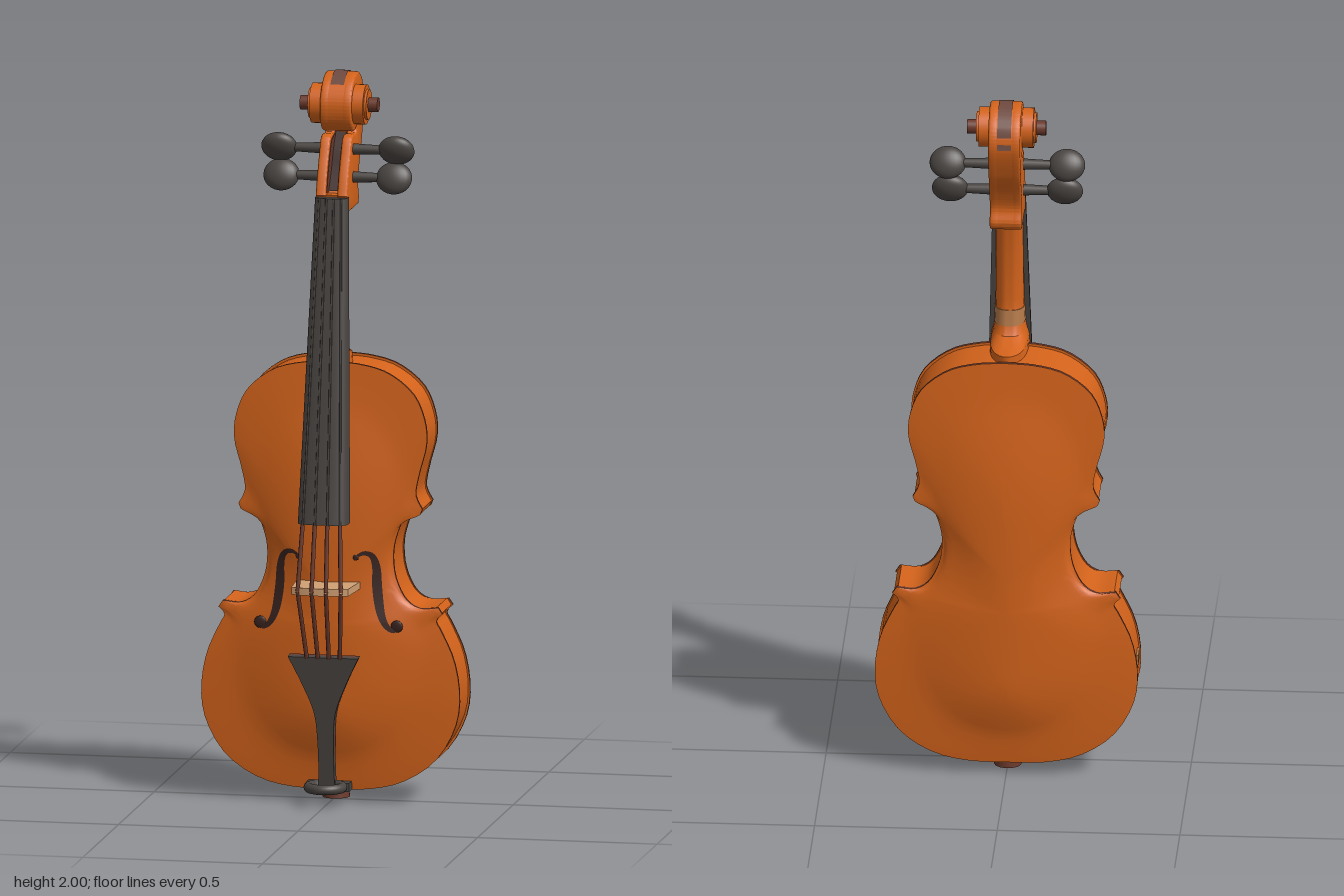
import * as THREE from 'three';
import { toCreasedNormals, mergeVertices } from 'three/addons/utils/BufferGeometryUtils.js';

const mat = (name, color, side = THREE.FrontSide) => {
  const m = new THREE.MeshStandardMaterial({ color, side });
  m.name = name;
  return m;
};
const V3 = (x, y, z) => new THREE.Vector3(x, y, z);
const V2 = ([x, y]) => new THREE.Vector2(x, y);

// Surface through rings of points (loops counter-clockwise seen from the last ring)
function skin(rings, closed = true) {
  const n = rings[0].length, pos = [], idx = [];
  rings.forEach(r => r.forEach(p => pos.push(p.x, p.y, p.z)));
  for (let j = 0; j < rings.length - 1; j++) {
    for (let i = 0; i < (closed ? n : n - 1); i++) {
      const a = j * n + i, b = j * n + (i + 1) % n;
      idx.push(a, b, b + n, a, b + n, a + n);
    }
  }
  const g = new THREE.BufferGeometry();
  g.setAttribute('position', new THREE.Float32BufferAttribute(pos, 3));
  g.setIndex(idx);
  return toCreasedNormals(mergeVertices(g, 1e-5), 0.6);
}

// Half outline of the body in three smooth runs that meet at sharp corners
const RUNS = [
  [[0, 0.035], [0.1, 0.037], [0.2, 0.06], [0.29, 0.12], [0.345, 0.21], [0.36, 0.3], [0.345, 0.4], [0.31, 0.48], [0.295, 0.51], [0.312, 0.53]],
  [[0.3, 0.548], [0.25, 0.545], [0.21, 0.57], [0.182, 0.63], [0.176, 0.7], [0.19, 0.76], [0.21, 0.795], [0.25, 0.805]],
  [[0.256, 0.82], [0.238, 0.86], [0.248, 0.92], [0.268, 1.0], [0.262, 1.07], [0.23, 1.14], [0.16, 1.195], [0.08, 1.217], [0, 1.222]],
];
function bodyLoop() {
  const half = RUNS.flatMap(r => new THREE.SplineCurve(r.map(V2)).getPoints(26));
  const left = half.slice(1, -1).reverse().map(p => new THREE.Vector2(-p.x, p.y));
  return [...half, ...left];
}
// Outline with its corners averaged away
function softened(loop) {
  const n = loop.length;
  for (let k = 0; k < 80; k++) {
    loop = loop.map((p, i) => p.clone().multiplyScalar(2).add(loop[(i + 1) % n]).add(loop[(i + n - 1) % n]).divideScalar(4));
  }
  return loop;
}

// Arched plate: the outline softens and shrinks onto a spine while it rises
function plate(loop, z, rise) {
  const steps = [1, 0.97, 0.94, 0.9, 0.85, 0.79, 0.72, 0.62, 0.5, 0.36, 0.18, 0];
  const src = rise < 0 ? [...loop].reverse() : loop;
  const soft = softened(src);
  return skin(steps.map(t => src.map((q, i) => {
    const p = q.clone().lerp(soft[i], THREE.MathUtils.smoothstep(1 - t, 0, 0.22));
    const spine = 0.3 + (q.y - 0.035) * 0.38;
    return V3(p.x * t, spine + (p.y - spine) * t, z + rise * Math.sin((1 - t) * Math.PI / 2) ** 1.15);
  })));
}
const band = (loop, z0, z1) => skin([z0, z1].map(z => loop.map(p => V3(p.x, p.y, z))));

// Upright bar with one flat and one rounded side; sections are [y, halfWidth, zFlat, zRound]
function dBar(sections, power) {
  const rings = sections.map(([y, w, zf, zr]) => Array.from({ length: 32 }, (_, i) => {
    const a = i / 32 * Math.PI * 2, s = Math.sin(a) * (zr < zf ? 1 : -1);
    return V3(w * Math.cos(a), y, s > 0 ? zf + (zr - zf) * s ** power : zf);
  }));
  const cap = ([y, , a, b]) => rings[0].map(() => V3(0, y, (a + b) / 2));
  return skin([cap(sections[0]), ...rings, cap(sections[sections.length - 1])]);
}

// Side profile (z, y) extruded across x, with its edges rounded by bevel
function sideExtrude(shape, width, x, bevel) {
  const g = new THREE.ExtrudeGeometry(shape, {
    depth: width - 2 * bevel, curveSegments: 40, bevelEnabled: bevel > 0,
    bevelSize: bevel, bevelThickness: bevel, bevelOffset: -bevel, bevelSegments: 3,
  });
  g.translate(0, 0, bevel - width / 2).rotateY(-Math.PI / 2).translate(x, 0, 0);
  return toCreasedNormals(g, 0.6);
}

export function createModel() {
  const root = new THREE.Group();
  root.name = 'violin';
  const wood = mat('orange wood', 0xd4631b);
  const ebony = mat('dark ebony', 0x4a4542);
  const brown = mat('dark brown', 0x6b392b, THREE.DoubleSide);
  const greyBrown = mat('grey brown', 0x6e4a40, THREE.DoubleSide);
  const black = mat('cavity black', 0x38231f, THREE.DoubleSide);
  const maple = mat('pale maple', 0xd2a072);
  const tan = mat('worn tan', 0xb57a4a);
  const add = (name, geo, m, parent = root) => {
    const mesh = new THREE.Mesh(geo, m);
    mesh.name = name;
    parent.add(mesh);
    return mesh;
  };

  // Body
  const loop = bodyLoop();
  const inner = loop.map(p => new THREE.Vector2(p.x * 0.986, 0.63 + (p.y - 0.63) * 0.988));
  const front = add('frontPlate', plate(loop, 0.045, 0.052), wood);
  add('backPlate', plate(loop, -0.112, -0.048), wood);
  add('ribs', band(inner, -0.105, 0.04), wood);
  const flat = (l, z) => l.map(p => V3(p.x, p.y, z));
  add('frontEdge', band(loop, 0.035, 0.045), brown);
  add('backEdge', band(loop, -0.112, -0.102), brown);
  add('frontLip', skin([flat(inner, 0.035), flat(loop, 0.035)]), wood);
  add('backLip', skin([flat(loop, -0.102), flat(inner, -0.102)]), wood);
  add('ribPatch', new THREE.BoxGeometry(0.008, 0.028, 0.055), tan).position.set(-0.3545, 0.325, -0.03);

  // Sound holes laid on the arched front
  const ray = new THREE.Raycaster();
  const onFront = (x, y) => {
    ray.set(V3(x, y, 1), V3(0, 0, -1));
    const hit = ray.intersectObject(front)[0];
    return V3(x, y, (hit ? hit.point.z : 0.05) + 0.003);
  };
  for (const s of [-1, 1]) {
    const path = new THREE.SplineCurve([[0.078, 0.688], [0.1, 0.7], [0.122, 0.692], [0.133, 0.66], [0.136, 0.6], [0.146, 0.535], [0.163, 0.497], [0.185, 0.484], [0.197, 0.5]].map(V2));
    const edges = [-1, 1].map(e => Array.from({ length: 41 }, (_, i) => {
      const u = i / 40, p = path.getPointAt(u), t = path.getTangentAt(u);
      const w = e * (0.003 + 0.01 * Math.sin(u * Math.PI));
      return onFront(s * (p.x - t.y * w), p.y + t.x * w);
    }));
    add('soundHole', skin(edges, false), black);
    for (const [x, y, r] of [[0.08, 0.688, 0.008], [0.19, 0.497, 0.017]]) {
      const dot = add('soundHoleEnd', new THREE.SphereGeometry(r, 16, 8), black);
      dot.scale.z = 0.25;
      dot.position.copy(onFront(s * x, y));
    }
  }

  // Neck with heel, and fingerboard
  add('neck', dBar([[1.18, 0.055, 0.08, -0.1], [1.236, 0.052, 0.076, -0.1], [1.246, 0.05, 0.074, -0.05], [1.26, 0.046, 0.072, -0.015],
    [1.29, 0.041, 0.068, 0.002], [1.36, 0.039, 0.06, 0.008], [1.6, 0.037, 0.03, 0.002], [1.64, 0.037, 0.026, -0.01], [1.68, 0.037, 0.024, -0.02]], 0.6), wood);
  add('neckPatch', dBar([[1.285, 0.043, 0.067, -0.003], [1.33, 0.0415, 0.062, 0.003]], 0.6), tan);
  add('fingerboard', dBar([[0.79, 0.07, 0.122, 0.177], [1.675, 0.045, 0.014, 0.052]], 0.3), ebony);

  // Head: two rounded cheeks and a recessed core share one back curve
  const backCurve = [[-0.138, 1.65], [-0.128, 1.69], [-0.145, 1.74], [-0.185, 1.815], [-0.211, 1.9], [-0.193, 1.96], [-0.145, 1.994],
    [-0.095, 1.996], [-0.05, 1.972], [-0.023, 1.925], [-0.03, 1.872], [-0.065, 1.843], [-0.108, 1.848]];
  const head = frontCurve => {
    const s = new THREE.Shape();
    s.moveTo(0, 1.63);
    s.lineTo(-0.13, 1.63);
    s.splineThru(backCurve.map(V2));
    s.splineThru(frontCurve.map(V2));
    return s;
  };
  const floor = [[-0.11, 1.832], [-0.075, 1.79], [-0.045, 1.735], [-0.008, 1.685]];
  const cheek = head([[-0.1, 1.833], [-0.06, 1.835], [-0.035, 1.825], [-0.01, 1.78], [0.015, 1.73], [0.035, 1.68]]);
  const wall = new THREE.Shape([...floor, [0.022, 1.685], [0.007, 1.73], [-0.018, 1.78], [-0.045, 1.82], [-0.08, 1.828]].map(V2));
  for (const s of [-1, 1]) {
    add('headCheek', sideExtrude(cheek, 0.028, s * 0.03, 0.006), wood);
    add('cavityWall', sideExtrude(wall, 0.002, s * 0.0155, 0), brown);
  }
  add('headCore', sideExtrude(head(floor), 0.044, 0, 0), wood);
  const strip = (pts, w, off) => skin([-w, w].map(x => pts.map(p => V3(x, p.y + off[1], p.x + off[0]))), false);
  add('pegboxCavity', strip(new THREE.SplineCurve(floor.map(V2)).getPoints(12), 0.021, [0.004, 0.002]), black);
  const crown = new THREE.SplineCurve(backCurve.slice(4, 9).map(V2)).getPoints(40)
    .map(p => V2([-0.115 + (p.x + 0.115) * 1.03, 1.9 + (p.y - 1.9) * 1.03]));
  add('scrollStripe', strip(crown, 0.019, [0, 0]), greyBrown);

  // Scroll turns, stepping outward to the eye
  for (const [name, r, len, m] of [['scrollTurn', 0.055, 0.15, wood], ['scrollInnerTurn', 0.042, 0.164, wood], ['scrollEye', 0.02, 0.216, brown]]) {
    const c = add(name, new THREE.CylinderGeometry(r, r, len, 32), m);
    c.rotation.z = Math.PI / 2;
    c.position.set(0, 1.915, -0.085);
  }

  // Tuning pegs
  for (const s of [-1, 1]) {
    for (const [y, z, x, tilt] of [[1.795, -0.06, 0.163, 0.5], [1.718, -0.058, 0.157, -0.4]]) {
      const peg = new THREE.Group();
      peg.name = 'tuningPeg';
      peg.position.set(0, y, z);
      root.add(peg);
      const shaft = add('pegShaft', new THREE.CylinderGeometry(0.012, 0.016, 0.1, 16), ebony, peg);
      shaft.rotation.z = -s * Math.PI / 2;
      shaft.position.x = s * 0.08;
      const grip = add('pegGrip', new THREE.SphereGeometry(1, 24, 16), ebony, peg);
      grip.scale.set(0.05, 0.045, 0.027);
      grip.rotation.x = tilt;
      grip.position.x = s * x;
    }
  }

  // Bridge with arched top and a cut between its feet
  const b = new THREE.Shape();
  b.moveTo(-0.086, 0.08);
  b.lineTo(-0.05, 0.08);
  b.quadraticCurveTo(0, 0.13, 0.05, 0.08);
  b.lineTo(0.09, 0.08);
  b.lineTo(0.08, 0.2);
  b.quadraticCurveTo(0, 0.224, -0.078, 0.2);
  const bridge = new THREE.ExtrudeGeometry(b, { depth: 0.02, bevelEnabled: false });
  bridge.rotateX(Math.PI / 2).translate(0, 0.62, 0);
  add('bridge', toCreasedNormals(bridge, 0.6), maple);

  // Strings: dark along the fingerboard, brown over the bridge to the tailpiece
  for (const s of [-1, -1 / 3, 1 / 3, 1]) {
    const pts = [V3(s * 0.03, 1.675, 0.052 - s * s * 0.004), V3(s * 0.052, 0.79, 0.178 - s * s * 0.005),
      V3(s * 0.06, 0.61, 0.211 - s * s * 0.008), V3(s * 0.046, 0.415, 0.145)];
    for (let i = 0; i < 3; i++) {
      add('string', new THREE.TubeGeometry(new THREE.LineCurve3(pts[i], pts[i + 1]), 1, i ? 0.006 : 0.003, 8), i ? brown : ebony);
    }
  }

  // Tailpiece with a brown underside layer, leaning forward toward the bridge
  const t = new THREE.Shape();
  t.moveTo(-0.022, 0);
  t.lineTo(0.022, 0);
  t.splineThru([[0.022, 0.12], [0.03, 0.21], [0.06, 0.29], [0.098, 0.37]].map(V2));
  t.lineTo(-0.098, 0.37);
  t.splineThru([[-0.06, 0.29], [-0.03, 0.21], [-0.022, 0.12], [-0.022, 0]].map(V2));
  for (const [name, z, depth, m] of [['tailpiece', 0.01, 0.018, ebony], ['tailpieceUnderside', 0, 0.01, brown]]) {
    const g = new THREE.ExtrudeGeometry(t, { depth, bevelEnabled: false }).translate(0, 0, z);
    const tail = add(name, toCreasedNormals(g, 0.6), m);
    tail.position.set(0, 0.055, 0.07);
    tail.rotation.x = 0.14;
  }

  // Tail loop, saddle and end button
  const ring = add('tailLoop', new THREE.TorusGeometry(0.046, 0.014, 12, 36), ebony);
  ring.rotation.x = Math.PI / 2;
  ring.position.set(0, 0.052, 0.115);
  add('saddle', new THREE.BoxGeometry(0.12, 0.024, 0.05), ebony).position.set(0, 0.047, 0.06);
  add('endButton', new THREE.CylinderGeometry(0.034, 0.038, 0.05, 24), brown).position.set(0, 0.025, -0.035);
  return root;
}
